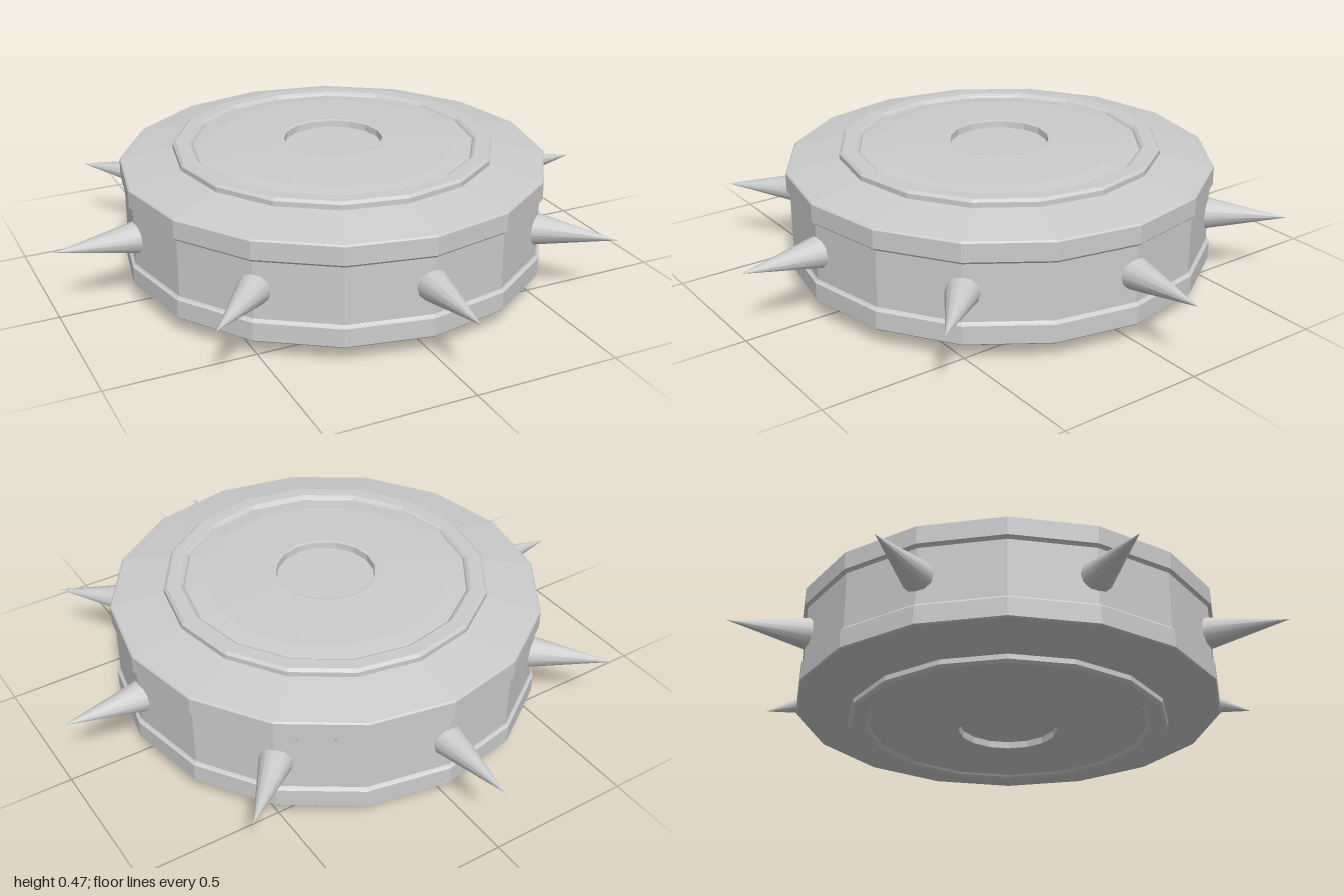
import * as THREE from 'three';

const SIDES = 16;
const MID = 0.238; // height of the symmetry plane

const material = new THREE.MeshStandardMaterial({ color: 0xcccccc, flatShading: true });

// Lathe from a half profile of [radius, height above mid], running from the middle plane up;
// it is mirrored below so the outline stays one continuous surface.
function mirroredLathe(name, half) {
  const lower = half.map(([r, h]) => new THREE.Vector2(r, MID - h)).reverse();
  const upper = half.map(([r, h]) => new THREE.Vector2(r, MID + h));
  const mesh = new THREE.Mesh(new THREE.LatheGeometry([...lower, ...upper], SIDES), material);
  mesh.name = name;
  return mesh;
}

export function createModel() {
  const model = new THREE.Group();
  model.name = 'spikedDisc';

  // Waist, two raised rims, sloping shoulders, raised rings, domed caps and centre recesses
  model.add(mirroredLathe('body', [
    [0.729, 0.098],                                   // waist
    [0.734, 0.104], [0.74, 0.108], [0.74, 0.17], [0.735, 0.175], // rim
    [0.555, 0.207],                                   // shoulder
    [0.555, 0.224], [0.545, 0.233],                   // ring, outer bevel
    [0.5, 0.233], [0.49, 0.227], [0.485, 0.22],       // ring, inner edge
    [0.42, 0.228], [0.18, 0.237], [0.171, 0.235],     // domed cap
    [0.169, 0.212], [0, 0.212],                       // centre recess
  ]));

  // Eight spikes around the waist
  const spikes = new THREE.Group();
  spikes.name = 'spikes';
  const base = 0.69, tip = 0.998;
  const spikeMaterial = new THREE.MeshStandardMaterial({ color: 0xcccccc });
  const spikeGeometry = new THREE.ConeGeometry(0.061, tip - base, 12);
  spikeGeometry.rotateX(Math.PI / 2).translate(0, MID, (base + tip) / 2);
  for (let i = 0; i < 8; i++) {
    const spike = new THREE.Mesh(spikeGeometry, spikeMaterial);
    spike.name = 'spike';
    spike.rotation.y = (i * Math.PI) / 4;
    spikes.add(spike);
  }
  model.add(spikes);

  return model;
}
